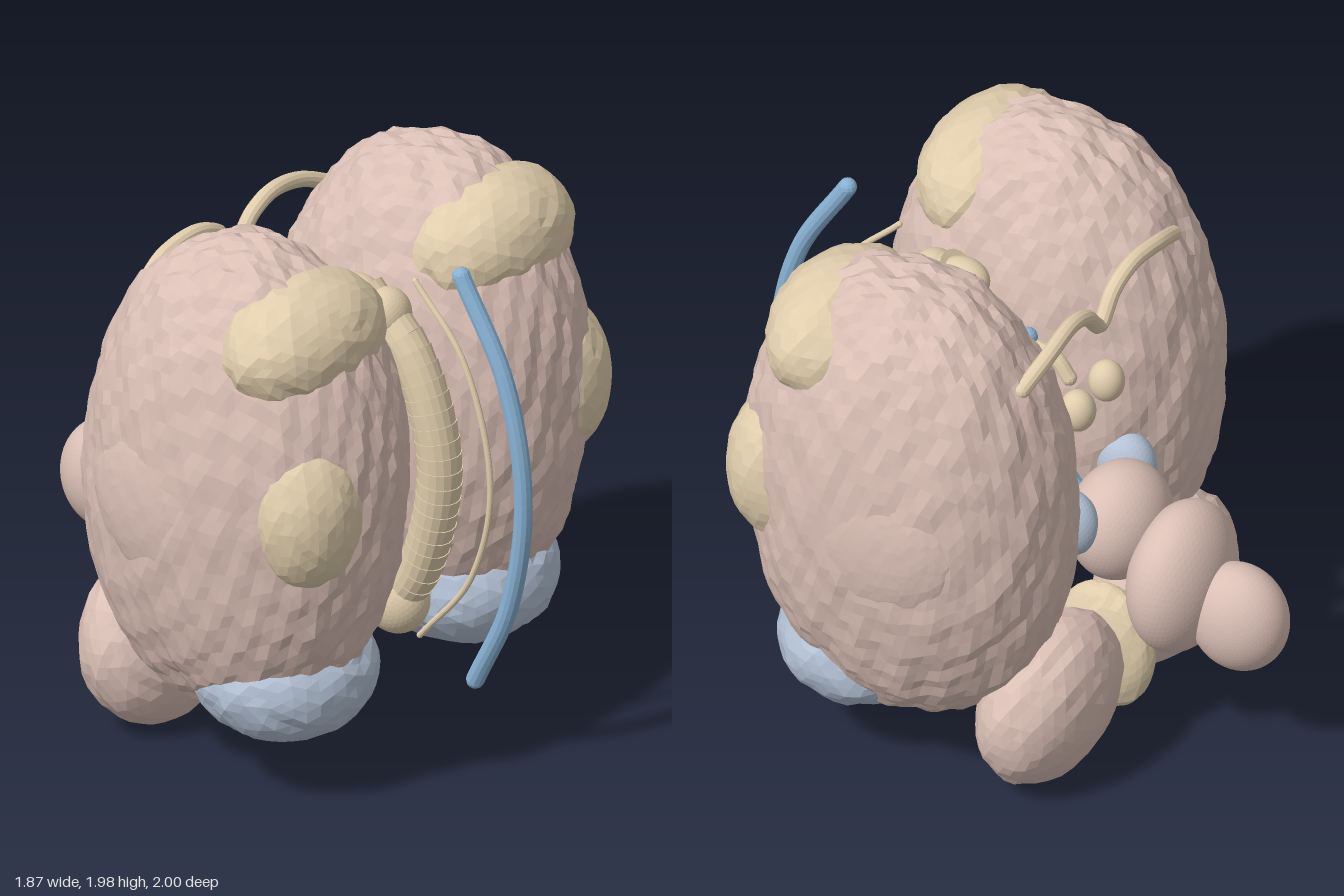
import * as THREE from 'three';

const material = (name, color) => {
  const m = new THREE.MeshStandardMaterial({ color, flatShading: true });
  m.name = name;
  return m;
};

// Layered waves give the folded surface
const folds = (p, seed) =>
  0.4 * Math.sin(9 * p.x + 4 * p.y + seed) * Math.sin(8 * p.z - 5 * p.x + seed * 2) +
  0.4 * Math.sin(19 * p.z + 15 * p.x + seed * 3) * Math.cos(13 * p.y - 11 * p.x) +
  0.35 * Math.sin(31 * p.x - 25 * p.z + seed) * Math.cos(23 * p.y + 11 * p.z);

export function createModel() {
  const root = new THREE.Group();
  root.name = 'brainModel';
  const pink = material('pinkTissue', 0xdabfb5);
  const tan = material('tanTissue', 0xe0cdac);
  const pale = material('paleBlueTissue', 0xb4c2d5);
  const blue = material('blueVessel', 0x88b2d4);

  const add = (name, geometry, mat) => {
    const mesh = new THREE.Mesh(geometry, mat);
    mesh.name = name;
    root.add(mesh);
    return mesh;
  };

  // Ellipsoid with optional surface folds, fuller corners (power > 2) and tilt about x
  const lobe = (name, mat, c, r, { detail = 6, rough = 0, seed = 1, tilt = 0, power = 2 } = {}) => {
    const g = new THREE.IcosahedronGeometry(1, detail);
    const pos = g.attributes.position;
    const p = new THREE.Vector3();
    for (let i = 0; i < pos.count; i++) {
      p.fromBufferAttribute(pos, i);
      const sum = Math.abs(p.x) ** power + Math.abs(p.y) ** power + Math.abs(p.z) ** power;
      p.multiplyScalar((1 + rough * folds(p, seed)) / sum ** (1 / power));
      pos.setXYZ(i, p.x * r[0], p.y * r[1], p.z * r[2]);
    }
    g.computeVertexNormals();
    const mesh = add(name, g, mat);
    mesh.position.set(...c);
    mesh.rotation.x = tilt;
  };

  const curveOf = (points) => new THREE.CatmullRomCurve3(points.map((p) => new THREE.Vector3(...p)));

  // Tube with rounded ends
  const cord = (name, mat, points, radius, segments = 40) => {
    const curve = curveOf(points);
    add(name, new THREE.TubeGeometry(curve, segments, radius, 12), mat);
    for (const t of [0, 1]) {
      const cap = add(name + 'End', new THREE.SphereGeometry(radius, 12, 8), mat);
      cap.position.copy(curve.getPoint(t));
    }
  };

  // Paired parts, mirrored across x
  for (const s of [1, -1]) {
    const side = s > 0 ? 'left' : 'right';
    const seed = s > 0 ? 1.3 : 4.1;
    lobe(side + 'Hemisphere', pink, [s * 0.485, 1.11, 0.165], [0.44, 0.87, 0.58],
      { detail: 16, rough: 0.03, seed, tilt: 0.06, power: 2.17 });
    lobe(side + 'TemporalLobe', pink, [s * 0.8, 1.1, 0.12], [0.135, 0.345, 0.335],
      { detail: 10, rough: 0.015, seed });
    lobe(side + 'FrontalLobe', pale, [s * 0.48, 0.43, 0.335], [0.325, 0.235, 0.305],
      { rough: 0.035, seed });
    lobe(side + 'UpperCortex', tan, [s * 0.5, 1.695, 0.42], [0.34, 0.23, 0.235],
      { rough: 0.035, seed });
    lobe(side + 'SideCortex', tan, [s * 0.655, 1.155, 0.56], [0.205, 0.29, 0.195],
      { rough: 0.03, seed });
    lobe(side + 'Cerebellum', pink, [s * 0.38, 0.315, -0.305], [0.33, 0.305, 0.21],
      { rough: 0.03, seed, tilt: -0.15 });
    lobe(side + 'Thalamus', pale, [s * 0.19, 0.91, -0.27], [0.085, 0.125, 0.11]);
    lobe(side + 'Colliculus', tan, [s * 0.095, 1.31, -0.25], [0.062, 0.077, 0.062]);
  }

  // Lobe between the two cerebellum halves
  lobe('vermis', tan, [0, 0.28, -0.3], [0.095, 0.25, 0.19], { rough: 0.03 });

  // Brainstem, three overlapping swellings
  lobe('midbrain', pink, [0, 0.83, -0.36], [0.205, 0.21, 0.17], { detail: 11 });
  lobe('pons', pink, [0, 0.685, -0.6], [0.25, 0.275, 0.165], { detail: 11 });
  lobe('medulla', pink, [0, 0.6, -0.82], [0.145, 0.2, 0.18], { detail: 11 });

  // Banded arch between the hemispheres, a chain of short overlapping drums
  const arch = curveOf([[0, 1.61, 0.3], [0, 1.46, 0.48], [0, 1.1, 0.605], [0, 0.7, 0.53], [0, 0.52, 0.42]]);
  const up = new THREE.Vector3(0, 1, 0);
  const count = 24;
  const drum = new THREE.CylinderGeometry(0.078, 0.074, arch.getLength() / count * 1.2, 18);
  for (let i = 0; i <= count; i++) {
    const band = add('callosumBand', drum, tan);
    band.position.copy(arch.getPointAt(i / count));
    band.quaternion.setFromUnitVectors(up, arch.getTangentAt(i / count).negate());
  }
  lobe('callosumLowerEnd', tan, [0, 0.53, 0.42], [0.105, 0.125, 0.12]);
  lobe('callosumUpperEnd', tan, [0, 1.57, 0.37], [0.1, 0.1, 0.085]);
  lobe('callosumTip', tan, [0, 1.61, 0.25], [0.072, 0.075, 0.095]);

  // Arched cords
  cord('sagittalVessel', blue,
    [[0, 1.82, 0.7], [0, 1.48, 0.89], [0, 1.07, 0.967], [0, 0.66, 0.91], [0, 0.33, 0.76]], 0.032);
  cord('falxEdge', tan,
    [[0, 1.74, 0.5], [0, 1.5, 0.71], [0, 1.07, 0.825], [0, 0.7, 0.74], [0, 0.42, 0.52]], 0.011);
  cord('fornix', tan, [[0, 1.35, -0.16], [0, 1.41, -0.11], [0, 1.43, -0.03]], 0.028, 16);
  cord('aqueduct', blue,
    [[0, 1.46, 0], [0, 1.25, -0.02], [0, 1.0, -0.11], [0, 0.82, -0.25]], 0.034, 24);

  // Winged cord across the back
  cord('rearCord', tan,
    [[-0.5, 1.67, -0.27], [-0.36, 1.73, -0.29], [-0.2, 1.75, -0.285], [-0.09, 1.71, -0.28],
      [0, 1.62, -0.28],
      [0.09, 1.71, -0.28], [0.2, 1.75, -0.285], [0.36, 1.73, -0.29], [0.5, 1.67, -0.27]], 0.028, 56);

  return root;
}
